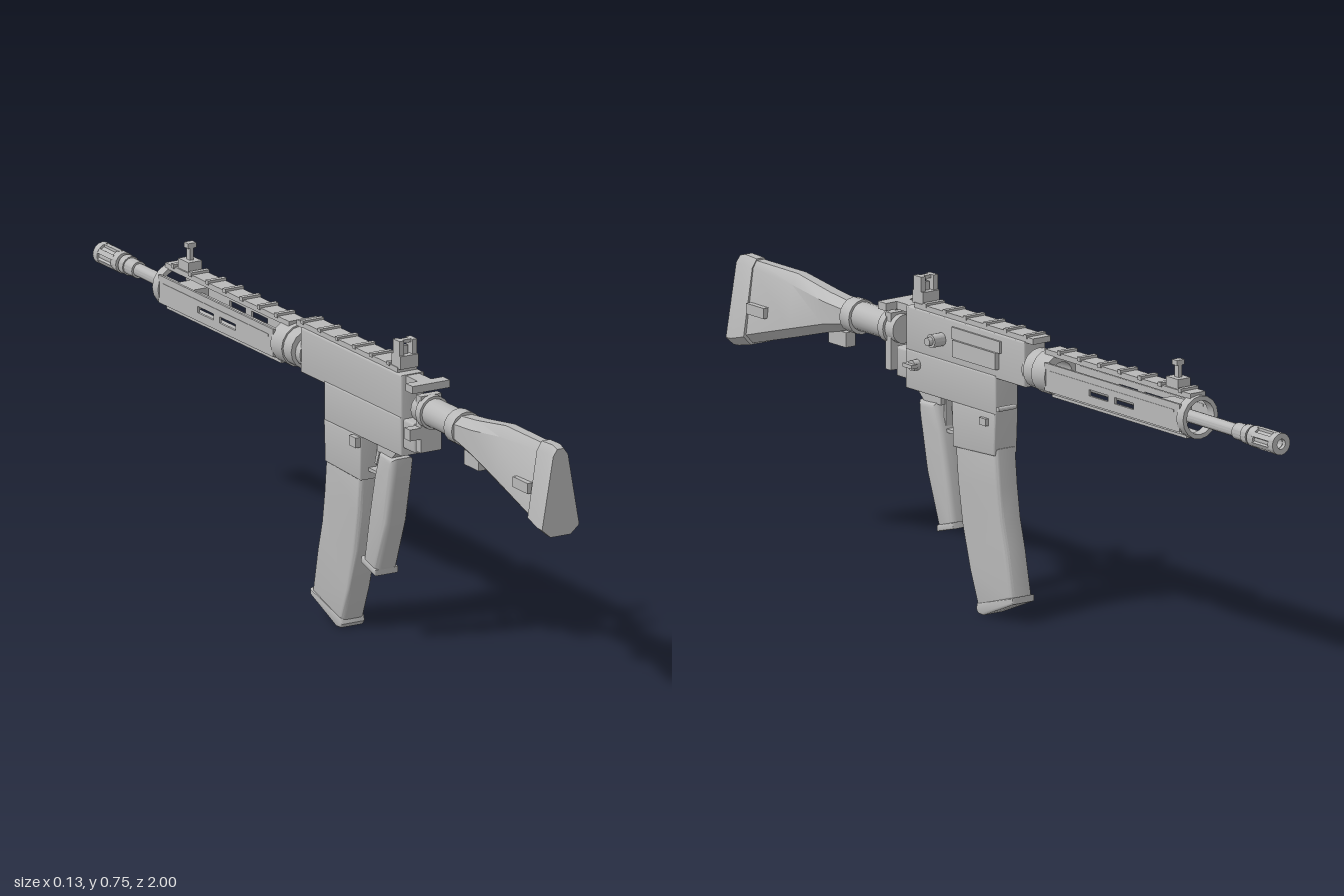
import * as THREE from 'three';
import { toCreasedNormals } from 'three/addons/utils/BufferGeometryUtils.js';

const CX = -0.009; // centre line of the body
const AXIS = 0.61; // height of the barrel axis
const grey = new THREE.MeshStandardMaterial({ color: 0xb8b8b8 });
grey.name = 'light grey';

export function createModel() {
  const root = new THREE.Group();
  const add = (name, geo) => {
    const m = new THREE.Mesh(toCreasedNormals(geo, 0.55), grey);
    m.name = name;
    root.add(m);
    return m;
  };
  // Box from its limits; x is relative to the centre line
  const box = (name, x0, x1, y0, y1, z0, z1) => {
    const m = add(name, new THREE.BoxGeometry(x1 - x0, y1 - y0, z1 - z0));
    m.position.set(CX + (x0 + x1) / 2, (y0 + y1) / 2, (z0 + z1) / 2);
    return m;
  };
  // Round part along z
  const rod = (name, r0, r1, z0, z1, y = AXIS) => {
    const g = new THREE.CylinderGeometry(r1, r0, z1 - z0, 16).rotateX(Math.PI / 2);
    add(name, g).position.set(CX, y, (z0 + z1) / 2);
  };
  // Round part along x
  const pin = (name, r, x0, x1, y, z) => {
    const g = new THREE.CylinderGeometry(r, r, x1 - x0, 12).rotateZ(Math.PI / 2);
    add(name, g).position.set(CX + (x0 + x1) / 2, y, z);
  };
  // Hollow ring along z
  const ring = (name, rOut, rIn, z0, z1, y = AXIS) => {
    const p = [[rIn, z0], [rOut, z0], [rOut, z1], [rIn, z1], [rIn, z0]].map(a => new THREE.Vector2(...a));
    add(name, new THREE.LatheGeometry(p, 16).rotateX(Math.PI / 2)).position.set(CX, y, 0);
  };
  // Side outline of [z, y] points given thickness across x
  const slab = (name, pts, width, bevel = 0, x = 0, holes = []) => {
    const s = new THREE.Shape(pts.map(a => new THREE.Vector2(...a)));
    s.holes = holes.map(h => new THREE.Path(h.map(a => new THREE.Vector2(...a))));
    const depth = width - 2 * bevel;
    const g = new THREE.ExtrudeGeometry(s, {
      depth, bevelEnabled: bevel > 0, bevelSize: bevel, bevelThickness: bevel,
      bevelOffset: -bevel, bevelSegments: 3,
    });
    g.translate(0, 0, -depth / 2).rotateY(-Math.PI / 2);
    add(name, g).position.x = CX + x;
  };
  const rect = (z0, z1, y0, y1) => [[z0, y0], [z1, y0], [z1, y1], [z0, y1]];
  // Skin over mirrored cross-sections: { z, half: [[x, y] from bottom to top] }, ordered by rising z
  const loft = (name, sections) => {
    const pos = [], idx = [];
    const n = sections[0].half.length * 2;
    for (const { z, half } of sections) {
      const mirrored = half.map(([x, y]) => [-x, y]).reverse();
      for (const [x, y] of [...half, ...mirrored]) pos.push(CX + x, y, z);
    }
    const last = (sections.length - 1) * n;
    for (let i = 0; i < last; i += n)
      for (let j = 0; j < n; j++) {
        const k = (j + 1) % n;
        idx.push(i + j, i + k, i + n + k, i + j, i + n + k, i + n + j);
      }
    for (let j = 1; j < n - 1; j++) idx.push(0, j + 1, j, last, last + j, last + j + 1);
    const g = new THREE.BufferGeometry();
    g.setAttribute('position', new THREE.Float32BufferAttribute(pos, 3));
    g.setIndex(idx);
    add(name, g);
  };

  // Shoulder stock and butt pad
  loft('stock', [
    { z: 0.58, half: [[0.014, 0.570], [0.034, 0.588], [0.034, 0.620], [0.014, 0.636]] },
    { z: 0.66, half: [[0.016, 0.550], [0.036, 0.572], [0.033, 0.625], [0.014, 0.645]] },
    { z: 0.78, half: [[0.018, 0.515], [0.037, 0.538], [0.029, 0.640], [0.012, 0.664]] },
    { z: 0.94, half: [[0.022, 0.470], [0.042, 0.492], [0.021, 0.648], [0.011, 0.664]] },
  ]);
  loft('buttPad', [
    { z: 0.935, half: [[0.028, 0.468], [0.049, 0.490], [0.024, 0.648], [0.011, 0.668]] },
    { z: 0.98, half: [[0.028, 0.458], [0.051, 0.478], [0.022, 0.650], [0.010, 0.670]] },
    { z: 1.0, half: [[0.027, 0.456], [0.050, 0.476], [0.020, 0.648], [0.009, 0.664]] },
  ]);
  box('stockClip', -0.046, 0.046, 0.545, 0.57, 0.865, 0.93);
  box('slingLoop', -0.014, 0.014, 0.525, 0.56, 0.60, 0.665);
  rod('stockCollar', 0.041, 0.041, 0.555, 0.59, 0.604);
  rod('bufferTube', 0.034, 0.034, 0.40, 0.57, 0.606);
  rod('bufferNut', 0.040, 0.040, 0.43, 0.45, 0.606);
  box('endPlate', -0.028, 0.028, 0.51, 0.645, 0.415, 0.435);
  box('endPlateLug', -0.057, -0.02, 0.543, 0.57, 0.41, 0.435);

  // Receiver
  slab('upperReceiver', rect(-0.085, 0.355, 0.568, 0.675), 0.062, 0.004);
  slab('lowerReceiver', rect(0.02, 0.355, 0.482, 0.575), 0.066, 0.004);
  slab('receiverTail', rect(0.34, 0.40, 0.5, 0.57), 0.05, 0.005);
  slab('gripMount', [[0.235, 0.462], [0.30, 0.462], [0.325, 0.485], [0.235, 0.485]], 0.045);
  slab('magazineWell', [[0.025, 0.385], [0.178, 0.378], [0.182, 0.485], [0.02, 0.485]], 0.068, 0.004);
  box('chargingHandleBar', -0.018, 0.018, 0.655, 0.673, 0.34, 0.43);
  box('chargingHandle', -0.050, 0.050, 0.655, 0.673, 0.405, 0.435);
  box('ejectionPortCover', 0.028, 0.042, 0.592, 0.632, 0.01, 0.17);
  box('portRim', 0.028, 0.036, 0.632, 0.66, 0.0, 0.18);
  pin('forwardAssistStem', 0.016, 0.025, 0.063, 0.622, 0.222);
  pin('forwardAssist', 0.010, 0.060, 0.074, 0.622, 0.222);
  pin('selectorHub', 0.013, 0.02, 0.05, 0.545, 0.31);
  box('selectorLever', 0.044, 0.061, 0.541, 0.550, 0.295, 0.33);
  box('magazineCatch', -0.046, -0.03, 0.458, 0.482, 0.15, 0.18);
  box('magazineButton', 0.03, 0.042, 0.453, 0.47, 0.045, 0.07);
  pin('crossPin', 0.006, 0.0, 0.052, 0.505, -0.012);

  // Trigger and guard
  box('triggerGuard', -0.011, 0.011, 0.398, 0.406, 0.17, 0.238);
  box('triggerGuardRear', -0.011, 0.011, 0.40, 0.485, 0.232, 0.24);
  slab('trigger', [[0.20, 0.485], [0.222, 0.485], [0.216, 0.445], [0.205, 0.418], [0.198, 0.422], [0.206, 0.45]], 0.012);

  // Pistol grip and curved magazine
  slab('grip', [[0.250, 0.466], [0.315, 0.462], [0.312, 0.43], [0.285, 0.30], [0.238, 0.168],
    [0.182, 0.185], [0.205, 0.30], [0.228, 0.40]], 0.060, 0.014);
  slab('gripCap', [[0.240, 0.165], [0.242, 0.180], [0.180, 0.198], [0.177, 0.183]], 0.064, 0.004);
  slab('magazine', [[0.177, 0.40], [0.168, 0.30], [0.151, 0.20], [0.123, 0.10], [0.090, 0.012],
    [-0.038, 0.058], [-0.016, 0.166], [0.002, 0.235], [0.013, 0.31], [0.022, 0.40]], 0.061, 0.010);
  slab('magazineFloor', [[0.096, 0.012], [0.088, 0.002], [0.070, 0.001], [-0.043, 0.048],
    [-0.043, 0.064], [0.092, 0.026]], 0.064, 0.005);

  // Top rails with thin cross ribs
  box('receiverRail', -0.026, 0.026, 0.673, 0.687, -0.11, 0.33);
  for (let i = 0; i < 6; i++) {
    const z = -0.09 + i * 0.075;
    box('receiverRailRib', -0.028, 0.028, 0.683, 0.692, z, z + 0.012);
  }
  box('handguardRail', -0.022, 0.022, 0.658, 0.671, -0.69, -0.15);
  for (let i = 0; i < 7; i++) {
    const z = -0.66 + i * 0.075;
    box('handguardRailRib', -0.025, 0.025, 0.667, 0.677, z, z + 0.012);
  }

  // Handguard: collars, slotted side panels, bottom panel
  rod('barrelNut', 0.036, 0.036, -0.11, -0.08);
  ring('rearCollar', 0.047, 0.03, -0.135, -0.10, 0.614);
  ring('rearCollarStep', 0.051, 0.03, -0.185, -0.135, 0.614);
  ring('frontCollar', 0.051, 0.040, -0.70, -0.675, 0.614);
  const slots = [-0.51, -0.415].map(z => rect(z, z + 0.07, 0.602, 0.617));
  for (const s of [-1, 1]) {
    slab('sidePanel', rect(-0.68, -0.18, 0.582, 0.648), 0.006, 0, s * 0.043, slots);
    box('sidePanelLip', s * 0.043 - 0.004, s * 0.043 + 0.004, 0.626, 0.632, -0.66, -0.2);
  }
  box('bottomPanel', -0.025, 0.025, 0.564, 0.571, -0.68, -0.18);

  // Barrel, gas block and muzzle
  rod('barrel', 0.015, 0.016, -0.93, -0.08);
  box('gasBlock', -0.022, 0.022, 0.588, 0.636, -0.64, -0.57);
  rod('barrelStep', 0.020, 0.020, -0.88, -0.84);
  rod('barrelRing', 0.023, 0.023, -0.895, -0.875);
  rod('muzzleBase', 0.025, 0.025, -0.925, -0.902);
  ring('muzzleCore', 0.020, 0.011, -0.99, -0.92);
  ring('muzzleTip', 0.026, 0.012, -1.0, -0.982);
  for (let i = 0; i < 6; i++) {
    const a = (i / 6) * Math.PI * 2;
    const m = box('muzzleProng', -0.006, 0.006, -0.004, 0.004, -0.985, -0.92);
    m.position.x = CX + Math.sin(a) * 0.021;
    m.position.y = AXIS + Math.cos(a) * 0.021;
    m.rotation.z = -a;
  }

  // Rear sight
  box('rearSightBase', -0.024, 0.024, 0.684, 0.715, 0.30, 0.34);
  for (const s of [-1, 1])
    box('rearSightEar', s * 0.0175 - 0.0065, s * 0.0175 + 0.0065, 0.71, 0.75, 0.307, 0.335);
  box('rearSightBridge', -0.013, 0.013, 0.742, 0.75, 0.315, 0.328);
  box('rearSightPeep', -0.006, 0.006, 0.71, 0.735, 0.315, 0.325);

  // Front sight
  box('frontSightBase', -0.018, 0.018, 0.668, 0.694, -0.64, -0.595);
  box('frontSightPost', -0.005, 0.005, 0.69, 0.735, -0.624, -0.61);
  box('frontSightHead', -0.011, 0.011, 0.723, 0.735, -0.626, -0.608);
  return root;
}
